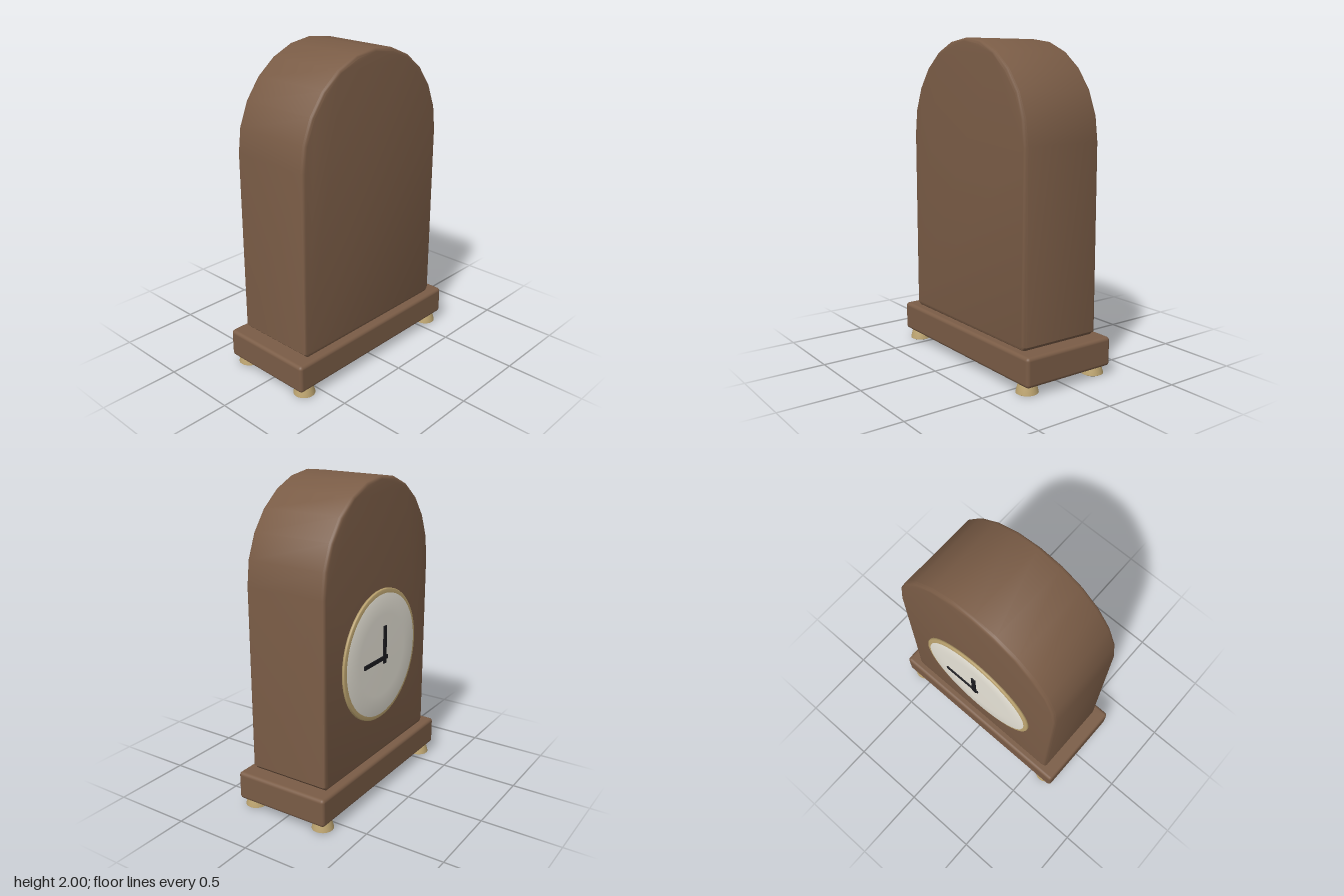
import * as THREE from 'three';
import { toCreasedNormals } from 'three/addons/utils/BufferGeometryUtils.js';
import { RoundedBoxGeometry } from 'three/addons/geometries/RoundedBoxGeometry.js';

const material = (color) => new THREE.MeshStandardMaterial({ color });
const wood = material(0x7a5c46);
const brass = material(0xbfa671);
const enamel = material(0xe8e4d8);
const black = material(0x1c1c20);

export function createModel() {
  const group = new THREE.Group();
  const add = (name, geometry, mat, x = 0, y = 0, z = 0) => {
    const mesh = new THREE.Mesh(geometry, mat);
    mesh.name = name;
    mesh.position.set(x, y, z);
    group.add(mesh);
    return mesh;
  };
  const lathe = (profile, segments) =>
    new THREE.LatheGeometry(profile.map(([r, y]) => new THREE.Vector2(r, y)), segments);

  // Plinth
  add('plinth', new RoundedBoxGeometry(1.35, 0.18, 0.63, 3, 0.022), wood, 0, 0.15, 0);

  // Arched case: bevelled extrusion, twelve facets over the top
  const bevel = 0.02;
  const w = 0.587 - bevel, bottom = 0.24 + bevel, spring = 1.4, rise = 0.6 - bevel;
  const outline = [[-w, bottom + 0.012], [-w + 0.012, bottom], [w - 0.012, bottom], [w, bottom + 0.012]]
    .map(([x, y]) => new THREE.Vector2(x, y));
  for (let i = 0; i <= 12; i++) {
    const a = (i / 12) * Math.PI;
    outline.push(new THREE.Vector2(w * Math.cos(a), spring + rise * Math.sin(a)));
  }
  const caseGeometry = new THREE.ExtrudeGeometry(new THREE.Shape(outline), {
    depth: 0.54 - 2 * bevel, bevelThickness: bevel, bevelSize: bevel, bevelSegments: 3,
  });
  caseGeometry.translate(0, 0, -0.27 + bevel);
  add('case', toCreasedNormals(caseGeometry, 0.7), wood);

  // Dial and its brass surround, on the -z side
  const dialY = 0.916;
  const bezel = lathe([[0.385, 0], [0.415, 0], [0.415, 0.012], [0.41, 0.018], [0.385, 0.018]], 48);
  add('bezel', bezel, brass, 0, dialY, -0.268).rotation.x = -Math.PI / 2;
  const dial = lathe([[0.387, 0], [0.387, 0.02], [0.26, 0.022], [0, 0.023]], 48);
  add('dial', dial, enamel, 0, dialY, -0.27).rotation.x = -Math.PI / 2;

  // Hands, just clear of the dial
  add('minuteHand', new THREE.BoxGeometry(0.26, 0.026, 0.008), black, 0.1, 0.905, -0.308);
  add('hourHand', new THREE.BoxGeometry(0.03, 0.24, 0.008), black, 0, 0.988, -0.308);

  // Four flared brass feet
  const foot = toCreasedNormals(
    lathe([[0, 0], [0.055, 0], [0.067, 0.006], [0.066, 0.014], [0.052, 0.065], [0, 0.065]], 20), 0.7);
  for (const x of [-1, 1]) {
    for (const z of [-1, 1]) add('foot', foot, brass, 0.588 * x, 0, 0.25 * z);
  }
  return group;
}
